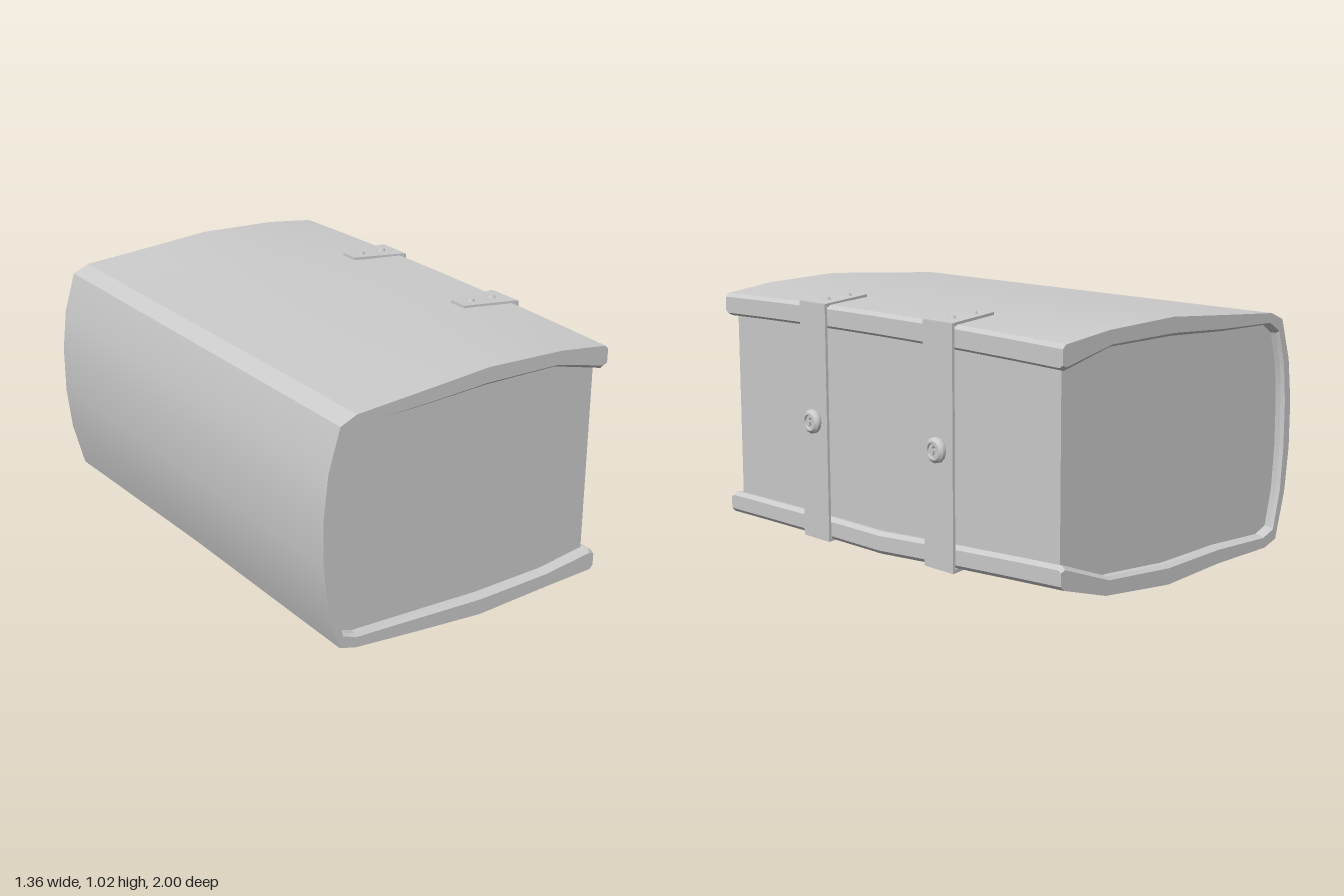
import * as THREE from 'three';
import { toCreasedNormals } from 'three/addons/utils/BufferGeometryUtils.js';

const material = new THREE.MeshStandardMaterial({ color: 0xcccccc });

// Cover section, from lower fore edge round the spine to upper fore edge:
// outer x, outer y, inner x, inner y, lift at mid length, lift at the back end
const SECTION = [
  [0.635, 0.04, 0.635, 0.1, 0.01, 0.08],
  [0.62, 0.024, 0.615, 0.114, 0.01, 0.08],
  [0.4, 0.018, 0.38, 0.084, 0.02, 0.02],
  [0.05, 0.004, 0.05, 0.08, 0.025, 0.003],
  [-0.25, 0.03, -0.25, 0.095, 0.01, 0],
  [-0.54, 0.058, -0.53, 0.108, 0, -0.022],
  [-0.61, 0.08, -0.59, 0.13, 0, -0.02],
  [-0.66, 0.25, -0.625, 0.26, 0, 0],
  [-0.68, 0.43, -0.638, 0.43, 0, 0],
  [-0.68, 0.62, -0.638, 0.62, 0, 0],
  [-0.66, 0.79, -0.625, 0.77, 0, 0],
  [-0.61, 0.955, -0.59, 0.9, 0, 0],
  [-0.54, 0.985, -0.53, 0.94, 0, 0],
  [-0.25, 1.005, -0.25, 0.942, -0.005, 0],
  [0.05, 1.027, 0.05, 0.955, -0.015, 0],
  [0.4, 1.013, 0.38, 0.95, -0.005, 0],
  [0.62, 0.985, 0.615, 0.89, 0.015, 0],
  [0.635, 0.97, 0.635, 0.902, 0.015, 0],
];

// Points of the section at depth z; t = 0 is the outer face, 1 the inner one
function sectionAt(z, t) {
  return SECTION.map(([ox, oy, ix, iy, mid, back]) => new THREE.Vector2(
    THREE.MathUtils.lerp(ox, ix, t),
    THREE.MathUtils.lerp(oy, iy, t) + mid * (1 - z * z) + back * Math.max(0, -z)
  ));
}

// Skin closed counter-clockwise outlines along z and cap both ends
function loft(depths, outlineAt) {
  const rings = depths.map(outlineAt);
  const n = rings[0].length;
  const pos = [];
  const put = (k, i) => pos.push(rings[k][i % n].x, rings[k][i % n].y, depths[k]);
  for (let k = 0; k < rings.length - 1; k++) {
    for (let i = 0; i < n; i++) {
      put(k, i); put(k, i + 1); put(k + 1, i + 1);
      put(k, i); put(k + 1, i + 1); put(k + 1, i);
    }
  }
  const last = rings.length - 1;
  for (const [a, b, c] of THREE.ShapeUtils.triangulateShape(rings[last], [])) {
    put(last, a); put(last, b); put(last, c);
  }
  for (const [a, b, c] of THREE.ShapeUtils.triangulateShape(rings[0], [])) {
    put(0, a); put(0, c); put(0, b);
  }
  const geometry = new THREE.BufferGeometry();
  geometry.setAttribute('position', new THREE.Float32BufferAttribute(pos, 3));
  return toCreasedNormals(geometry, 0.3);
}

function add(parent, name, geometry, x = 0, y = 0, z = 0) {
  const mesh = new THREE.Mesh(geometry, material);
  mesh.name = name;
  mesh.position.set(x, y, z);
  parent.add(mesh);
  return mesh;
}

// Tapered plate with two rivets, running from the strap over a cover
function makeTab(name) {
  const tab = new THREE.Group();
  tab.name = name;
  const shape = new THREE.Shape([[0, -0.08], [0, 0.08], [-0.245, 0.042], [-0.245, -0.042]]
    .map(([x, y]) => new THREE.Vector2(x, y)));
  const plate = new THREE.ExtrudeGeometry(shape, { depth: 0.014, bevelEnabled: false });
  add(tab, 'tabPlate', plate.rotateX(-Math.PI / 2).translate(0, -0.014, 0));
  for (const x of [-0.07, -0.18]) {
    add(tab, 'rivet', new THREE.CylinderGeometry(0.012, 0.018, 0.012, 10), x, 0.005, 0);
  }
  return tab;
}

// Round lock with a chamfered rim and a keyhole, facing +x
function makeLock() {
  const lock = new THREE.Group();
  lock.name = 'lock';
  const rim = new THREE.LatheGeometry([[0.045, 0], [0.05, 0.006], [0.05, 0.018], [0.038, 0.03], [0.03, 0.03], [0.028, 0.02]]
    .map(([x, y]) => new THREE.Vector2(x, y)), 12);
  add(lock, 'lockRim', toCreasedNormals(rim.rotateZ(-Math.PI / 2), 0.6));
  const face = new THREE.Shape().absarc(0, 0, 0.032, 0, Math.PI * 2);
  const keyhole = new THREE.Path();
  keyhole.absarc(0, 0.007, 0.009, -1.1, Math.PI + 1.1);
  keyhole.lineTo(-0.006, -0.02);
  keyhole.lineTo(0.006, -0.02);
  keyhole.closePath();
  face.holes.push(keyhole);
  const plate = new THREE.ExtrudeGeometry(face, { depth: 0.022, bevelEnabled: false, curveSegments: 8 });
  add(lock, 'keyholePlate', plate.rotateY(Math.PI / 2));
  return lock;
}

export function createModel() {
  const model = new THREE.Group();
  model.name = 'claspedBook';

  // Wrapped cover, its inner lip bevelled at both ends
  const depths = [-1, -0.985, -0.75, -0.5, -0.25, 0, 0.25, 0.5, 0.75, 0.985, 1];
  add(model, 'cover', loft(depths, z => [
    ...sectionAt(z, Math.abs(z) === 1 ? 0.84 : 1),
    ...sectionAt(z, 0).reverse(),
  ]));

  // Page block, bedded halfway into the cover
  add(model, 'pages', loft([-0.96, -0.5, 0, 0.5, 0.96], z => sectionAt(z, 0.6)
    .slice(1, -1).map(p => p.setX(Math.min(p.x, 0.6))).reverse()));

  // Two clasps across the fore edge
  for (const [z, bottom] of [[0.38, 0.028], [-0.37, 0.053]]) {
    const clasp = new THREE.Group();
    clasp.name = 'clasp';
    clasp.position.z = z;
    const height = 1.003 - bottom;
    add(clasp, 'strap', new THREE.BoxGeometry(0.012, height, 0.163), 0.644, bottom + height / 2, 0);
    const upper = makeTab('upperTab');
    upper.position.set(0.645, 1.005, 0);
    upper.rotation.z = -0.06;
    const lower = makeTab('lowerTab');
    lower.position.set(0.645, bottom, 0);
    lower.rotation.set(Math.PI, 0, 0.03);
    const lock = makeLock();
    lock.position.set(0.649, 0.52, 0);
    clasp.add(upper, lower, lock);
    model.add(clasp);
  }
  return model;
}
